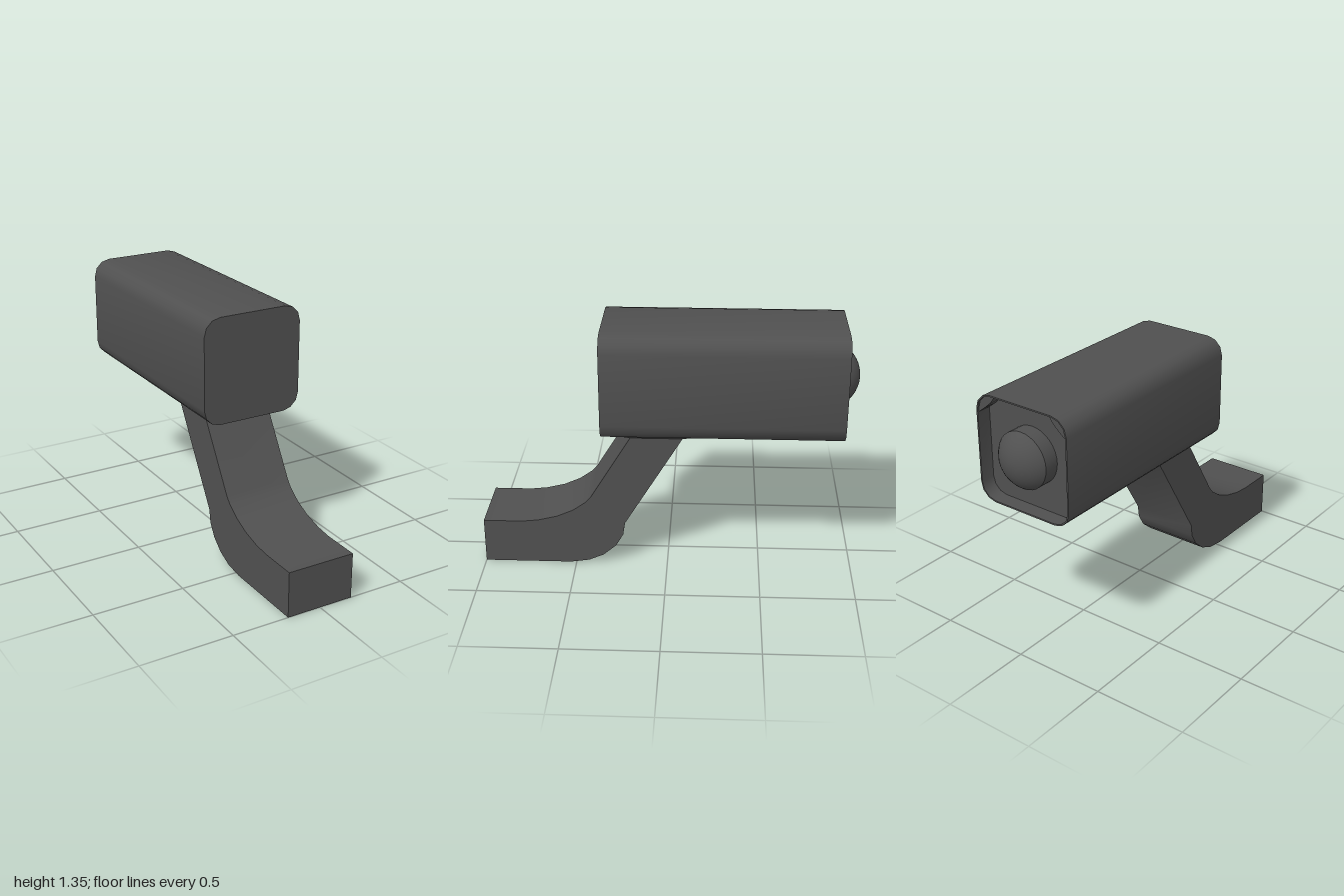
import * as THREE from 'three';
import { toCreasedNormals } from 'three/addons/utils/BufferGeometryUtils.js';

const material = new THREE.MeshStandardMaterial({ color: 0x505050 });
const CENTER_Y = 1.065;

function part(name, geometry) {
  const mesh = new THREE.Mesh(geometry, material);
  mesh.name = name;
  return mesh;
}

// Rounded rectangle, counter-clockwise, three segments per corner
function ring(inset) {
  const r = 0.09 - inset, cx = 0.19, cy = 0.195, points = [];
  const corners = [[1, 1], [-1, 1], [-1, -1], [1, -1]];
  corners.forEach(([sx, sy], q) => {
    for (let i = 0; i <= 3; i++) {
      const a = (q + i / 3) * Math.PI / 2;
      points.push([sx * cx + r * Math.cos(a), CENTER_Y + sy * cy + r * Math.sin(a)]);
    }
  });
  return points;
}

// One skin: front cap, outer wall, thin rear rim, recess wall, recessed plate
function housingGeometry() {
  const front = 0.345, back = -0.92, plate = -0.84, wall = 0.008;
  const rings = [[front, 0], [back, 0], [back, wall], [plate, wall]]
    .map(([z, inset]) => ring(inset).map(([x, y]) => [x, y, z]));
  const n = rings[0].length, pos = [];
  const tri = (a, b, c) => pos.push(...a, ...b, ...c);
  for (let i = 0; i < n; i++) {
    const j = (i + 1) % n;
    tri([0, CENTER_Y, front], rings[0][i], rings[0][j]);
    for (let k = 0; k < 3; k++) {
      const a = rings[k], b = rings[k + 1];
      tri(a[i], b[i], b[j]);
      tri(a[i], b[j], a[j]);
    }
    tri([0, CENTER_Y, plate], rings[3][j], rings[3][i]);
  }
  const geometry = new THREE.BufferGeometry();
  geometry.setAttribute('position', new THREE.Float32BufferAttribute(pos, 3));
  return toCreasedNormals(geometry, 0.7);
}

// Short barrel closed by a spherical cap, pointing to the rear
function lensGeometry() {
  const radius = 0.15, height = 0.08, barrel = 0.08, steps = 8;
  const R = (radius ** 2 + height ** 2) / (2 * height);
  const half = Math.asin(radius / R);
  const profile = [new THREE.Vector2(radius, 0)];
  for (let i = 0; i <= steps; i++) {
    const a = half * (1 - i / steps);
    profile.push(new THREE.Vector2(R * Math.sin(a), barrel + height - R + R * Math.cos(a)));
  }
  profile[profile.length - 1].x = 0;
  const geometry = new THREE.LatheGeometry(profile, 32);
  geometry.rotateX(-Math.PI / 2);
  geometry.translate(0, CENTER_Y, -0.84);
  return toCreasedNormals(geometry, 0.6);
}

// Side profile (z, y) of the bent arm, extruded across x
function armGeometry() {
  const width = 0.376;
  const profile = [
    [1, 0], [0.53, 0], [0.43, 0.015], [0.35, 0.05], [0.28, 0.11], [0.24, 0.18], [0.23, 0.25],
    [-0.09, 0.78], [0.185, 0.78],
    [0.41, 0.41], [0.44, 0.375], [0.51, 0.325], [0.6, 0.285], [0.7, 0.26], [0.79, 0.25], [1, 0.25],
  ].map(([z, y]) => new THREE.Vector2(z, y));
  const geometry = new THREE.ExtrudeGeometry(new THREE.Shape(profile),
    { depth: width, bevelEnabled: false });
  geometry.translate(0, 0, -width / 2);
  geometry.rotateY(-Math.PI / 2);
  return toCreasedNormals(geometry, 0.5);
}

// Flared collar: a box whose top is wider than its foot
function collarGeometry() {
  const geometry = new THREE.BoxGeometry(1, 1, 1);
  const p = geometry.attributes.position;
  for (let i = 0; i < p.count; i++) {
    const top = p.getY(i) > 0;
    p.setXYZ(i, p.getX(i) * (top ? 0.46 : 0.38), top ? 0.792 : 0.765,
      p.getZ(i) * (top ? 0.4 : 0.28) + 0.055);
  }
  geometry.computeVertexNormals();
  return geometry;
}

// Small block filling one upper corner of the recess
function tabGeometry(side) {
  const outline = [[0.165, 1.345], [0.195, 1.305], [0.235, 1.27], [0.275, 1.24],
    [0.275, 1.26], [0.262, 1.303], [0.233, 1.332], [0.19, 1.345]]
    .map(([x, y]) => new THREE.Vector2(side * x, y));
  const geometry = new THREE.ExtrudeGeometry(new THREE.Shape(outline),
    { depth: 0.07, bevelEnabled: false });
  geometry.translate(0, 0, -0.91);
  return geometry;
}

export function createModel() {
  const model = new THREE.Group();
  model.name = 'securityCamera';
  model.add(
    part('housing', housingGeometry()),
    part('lens', lensGeometry()),
    part('mountArm', armGeometry()),
    part('mountCollar', collarGeometry()),
    part('leftCornerTab', tabGeometry(1)),
    part('rightCornerTab', tabGeometry(-1)),
  );
  return model;
}
